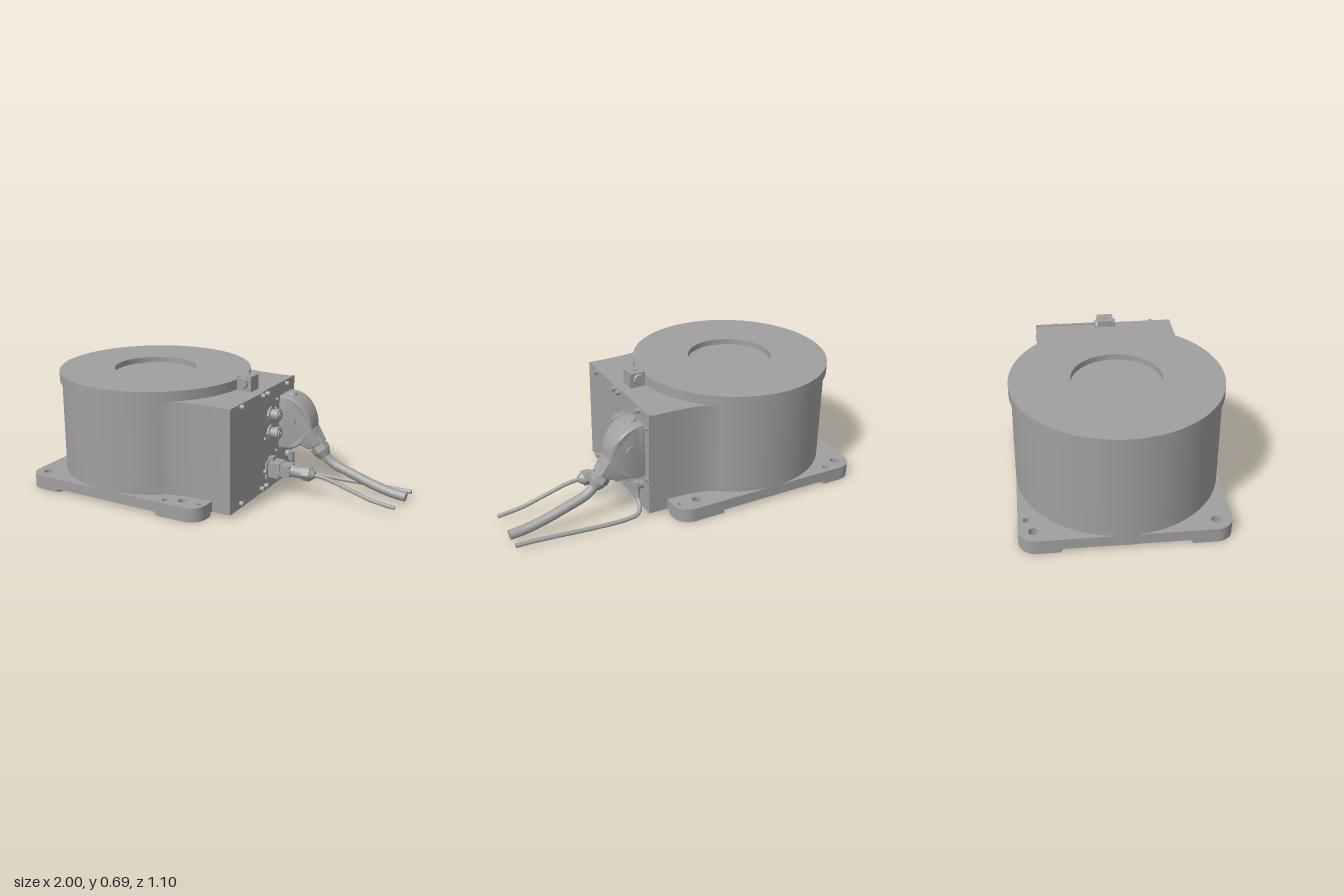
import * as THREE from 'three';
import { toCreasedNormals } from 'three/addons/utils/BufferGeometryUtils.js';

const V = (x, y, z) => new THREE.Vector3(x, y, z);

export function createModel() {
  const root = new THREE.Group();
  root.name = 'rotaryUnit';
  const grey = new THREE.MeshStandardMaterial({ color: 0xa0a0a0 });
  grey.name = 'grey';

  const add = (name, geo, parent = root) => {
    const mesh = new THREE.Mesh(toCreasedNormals(geo, 0.5), grey);
    mesh.name = name;
    parent.add(mesh);
    return mesh;
  };
  const group = (name) => {
    const g = new THREE.Group();
    g.name = name;
    root.add(g);
    return g;
  };
  // box given by its min and max corners
  const box = (name, a, b, parent) => add(name, new THREE.BoxGeometry(b[0] - a[0], b[1] - a[1], b[2] - a[2])
    .translate((a[0] + b[0]) / 2, (a[1] + b[1]) / 2, (a[2] + b[2]) / 2), parent);
  // round or polygonal rod between two points
  const rod = (name, a, b, r0, r1 = r0, sides = 24, parent = root) => {
    const d = b.clone().sub(a);
    const geo = new THREE.CylinderGeometry(r1, r0, d.length(), sides);
    geo.applyQuaternion(new THREE.Quaternion().setFromUnitVectors(V(0, 1, 0), d.clone().normalize()));
    const m = a.clone().add(b).multiplyScalar(0.5);
    return add(name, geo.translate(m.x, m.y, m.z), parent);
  };
  // plan outline (x, z) raised between two heights
  const slab = (name, shape, y0, y1, parent) => add(name, new THREE.ExtrudeGeometry(shape,
    { depth: y1 - y0, bevelEnabled: false, curveSegments: 40 }).rotateX(Math.PI / 2).translate(0, y1, 0), parent);
  const hole = (shape, x, z, r) => shape.holes.push(new THREE.Path().absarc(x, z, r, 0, Math.PI * 2, true));

  // base plate with rounded corners and mounting holes
  const X0 = -0.985, X1 = 0.145, Z = 0.537, R = 0.09;
  const plate = new THREE.Shape();
  plate.absarc(X1 - R, Z - R, R, 0, Math.PI / 2);
  plate.absarc(X0 + R, Z - R, R, Math.PI / 2, Math.PI);
  plate.absarc(X0 + R, -Z + R, R, Math.PI, Math.PI * 1.5);
  plate.absarc(X1 - R, -Z + R, R, Math.PI * 1.5, Math.PI * 2);
  plate.closePath();
  const corners = [[-0.91, -0.46], [-0.91, 0.455], [0.005, -0.46], [0.005, 0.455]];
  corners.forEach(([x, z]) => hole(plate, x, z, 0.026));
  [[-0.82, -0.493, 0.018], [-0.085, 0.488, 0.018], [0.108, -0.46, 0.013], [0.108, 0.455, 0.013]]
    .forEach((h) => hole(plate, ...h));
  slab('basePlate', plate, 0.021, 0.08);

  // round feet clipped to the plate outline
  corners.forEach(([cx, cz]) => {
    const pts = [];
    for (let i = 0; i < 72; i++) {
      const a = (i / 72) * Math.PI * 2;
      let x = THREE.MathUtils.clamp(cx + 0.148 * Math.cos(a), X0, X1);
      let z = THREE.MathUtils.clamp(cz + 0.148 * Math.sin(a), -Z, Z);
      const qx = THREE.MathUtils.clamp(x, X0 + R, X1 - R), qz = THREE.MathUtils.clamp(z, -Z + R, Z - R);
      const d = Math.hypot(x - qx, z - qz);
      if (d > R) { x = qx + (x - qx) * R / d; z = qz + (z - qz) * R / d; }
      pts.push(new THREE.Vector2(x, z));
    }
    const foot = new THREE.Shape(pts);
    hole(foot, cx, cz, 0.026);
    slab('foot', foot, 0, 0.022);
  });

  // drum flowing through concave fillets into the connector box
  const C = -0.45, RD = 0.537, A = 0.96;
  const ex = C + RD * Math.cos(A), ez = RD * Math.sin(A);
  const kx = ex + (ez - 0.385) * Math.tan(A);
  const body = new THREE.Shape();
  body.moveTo(0.24, -0.385);
  body.lineTo(0.24, 0.385);
  body.lineTo(0.15, 0.385);
  body.quadraticCurveTo(kx, 0.385, ex, ez);
  body.absarc(C, 0, RD, A, Math.PI * 2 - A);
  body.quadraticCurveTo(kx, -0.385, 0.15, -0.385);
  body.closePath();
  slab('drumBody', body, 0.02, 0.606);

  // turntable lid with a shallow central recess
  const lid = [[0, 0.606], [0.55, 0.606], [0.55, 0.662], [0.235, 0.662], [0.235, 0.63], [0, 0.63]];
  add('turntableLid', new THREE.LatheGeometry(lid.map((p) => new THREE.Vector2(...p)), 96).translate(C, 0, 0));

  // connector panels and their screws
  box('leftPanel', [0.239, 0.02, 0], [0.255, 0.606, 0.385]);
  box('rightPanel', [0.239, 0.02, -0.385], [0.255, 0.611, 0]);
  [[0.59, 0.272], [0.59, 0.028], [0.59, -0.026], [0.59, -0.27], [0.05, 0.272], [0.05, 0.028], [0.05, -0.026]]
    .forEach(([y, z]) => rod('panelBolt', V(0.25, y, z), V(0.278, y, z), 0.014, 0.014, 16));
  [[0.477, -0.135], [0.33, -0.135], [0.33, -0.01], [0.525, -0.155], [0.22, -0.155], [0.525, -0.362], [0.22, -0.362]]
    .forEach(([y, z]) => rod('panelScrew', V(0.25, y, z), V(0.266, y, z), 0.01, 0.01, 12));
  for (const s of [-1, 1]) for (let i = 0; i < 8; i++) {
    const y = 0.06 + i * 0.07;
    rod('edgeScrew', V(0.238, y, s * 0.38), V(0.238, y, s * 0.389), 0.007, 0.007, 10);
  }

  // index sensor on the lid edge
  const sensor = group('indexSensor');
  box('sensorBlock', [0.108, 0.605, -0.044], [0.195, 0.69, 0.044], sensor);
  for (const s of [-1, 1]) {
    rod('sensorCap', V(0.145, 0.652, s * 0.04), V(0.145, 0.652, s * 0.056), 0.034, 0.028, 24, sensor);
  }
  rod('sensorPin', V(0.15, 0.68, 0), V(0.15, 0.695, 0), 0.012, 0.012, 16, sensor);

  // two round sockets
  [0.46, 0.355].forEach((y) => {
    const g = group('roundSocket');
    const ring = (x0, x1, r, n) => rod('socketRing', V(x0, y, -0.075), V(x1, y, -0.075), r, r, n, g);
    ring(0.25, 0.268, 0.043, 8);
    ring(0.268, 0.29, 0.03, 24);
    ring(0.29, 0.315, 0.035, 16);
    ring(0.315, 0.322, 0.024, 24);
    ring(0.322, 0.327, 0.01, 12);
  });

  // large angled plug: hood narrowing toward its cable outlet
  const plug = group('powerPlug');
  const hood = new THREE.Shape();
  hood.moveTo(0.268, 0.24);
  hood.lineTo(0.268, 0.53);
  hood.bezierCurveTo(0.34, 0.54, 0.44, 0.47, 0.44, 0.36);
  hood.lineTo(0.488, 0.285);
  hood.lineTo(0.435, 0.25);
  hood.lineTo(0.39, 0.275);
  hood.quadraticCurveTo(0.34, 0.235, 0.268, 0.24);
  const hoodGeo = new THREE.ExtrudeGeometry(hood, {
    depth: 0.136, bevelThickness: 0.014, bevelSize: 0.01, bevelSegments: 3, curveSegments: 20,
  }).translate(0, 0, -0.068);
  const p = hoodGeo.attributes.position;
  for (let i = 0; i < p.count; i++) {
    const s = 1 - 0.4 * THREE.MathUtils.smoothstep(p.getX(i), 0.36, 0.48);
    p.setZ(i, -0.262 + p.getZ(i) * s);
  }
  hoodGeo.computeVertexNormals();
  add('plugHood', hoodGeo, plug);
  box('plugBase', [0.25, 0.235, -0.335], [0.275, 0.52, -0.189], plug);
  rod('hoodScrew', V(0.3, 0.53, -0.262), V(0.302, 0.55, -0.262), 0.036, 0.026, 16, plug);
  for (const z of [-0.335, -0.189]) {
    rod('latchPivot', V(0.33, 0.4, z), V(0.33, 0.4, z + Math.sign(z + 0.262) * 0.012), 0.03, 0.03, 24, plug);
  }
  const o = V(0.452, 0.282, -0.262), dir = V(0.6, -0.8, 0);
  const along = (t) => o.clone().addScaledVector(dir, t);
  rod('glandNut', along(-0.02), along(0.022), 0.056, 0.056, 6, plug);
  rod('glandNeck', along(0.02), along(0.036), 0.043, 0.043, 24, plug);
  rod('glandCap', along(0.036), along(0.07), 0.053, 0.053, 6, plug);
  rod('glandCone', along(0.07), along(0.108), 0.05, 0.032, 24, plug);

  // lower rectangular plug with flange, latch and cable nut
  const data = group('signalPlug');
  box('flange', [0.25, 0.09, -0.138], [0.268, 0.19, -0.022], data);
  box('latch', [0.25, 0.19, -0.1], [0.285, 0.21, -0.057], data);
  for (const z of [-0.012, -0.146]) rod('flangeScrew', V(0.25, 0.138, z), V(0.272, 0.138, z), 0.013, 0.013, 12, data);
  box('socketBody', [0.268, 0.1, -0.128], [0.335, 0.185, -0.034], data);
  box('plugBody', [0.335, 0.115, -0.12], [0.395, 0.18, -0.04], data);
  rod('plugSleeve', V(0.39, 0.147, -0.079), V(0.47, 0.147, -0.079), 0.034, 0.034, 24, data);
  rod('cableNut', V(0.465, 0.147, -0.079), V(0.51, 0.147, -0.079), 0.043, 0.043, 6, data);
  rod('cableCone', V(0.51, 0.147, -0.079), V(0.535, 0.146, -0.079), 0.036, 0.02, 24, data);

  // small gland for the thin side cable
  const gland = group('sideGland');
  rod('glandBase', V(0.25, 0.16, -0.3), V(0.285, 0.16, -0.3), 0.022, 0.022, 16, gland);
  rod('glandElbow', V(0.288, 0.18, -0.295), V(0.288, 0.13, -0.3), 0.02, 0.02, 8, gland);
  rod('glandTip', V(0.288, 0.13, -0.3), V(0.29, 0.085, -0.315), 0.016, 0.013, 16, gland);

  // cables with closed ends
  const cable = (name, r, pts) => {
    const curve = new THREE.CatmullRomCurve3(pts.map((q) => V(...q)));
    const g = group(name);
    add('cableJacket', new THREE.TubeGeometry(curve, 64, r, 16), g);
    const end = curve.getPoint(1), back = end.clone().addScaledVector(curve.getTangent(1), -0.01);
    rod('cableEnd', back, end, r, r, 16, g);
  };
  cable('powerCable', 0.027, [[0.5, 0.218, -0.262], [0.56, 0.165, -0.265], [0.68, 0.12, -0.268],
    [0.82, 0.075, -0.268], [0.93, 0.05, -0.267], [1, 0.043, -0.267]]);
  cable('signalCable', 0.011, [[0.52, 0.147, -0.079], [0.6, 0.138, -0.079], [0.72, 0.105, -0.079],
    [0.86, 0.065, -0.079], [1, 0.045, -0.079]]);
  cable('sideCable', 0.012, [[0.29, 0.09, -0.313], [0.292, 0.06, -0.345], [0.32, 0.034, -0.378], [0.38, 0.027, -0.389],
    [0.55, 0.027, -0.387], [0.75, 0.033, -0.375], [0.92, 0.037, -0.366], [1, 0.037, -0.365]]);

  return root;
}
